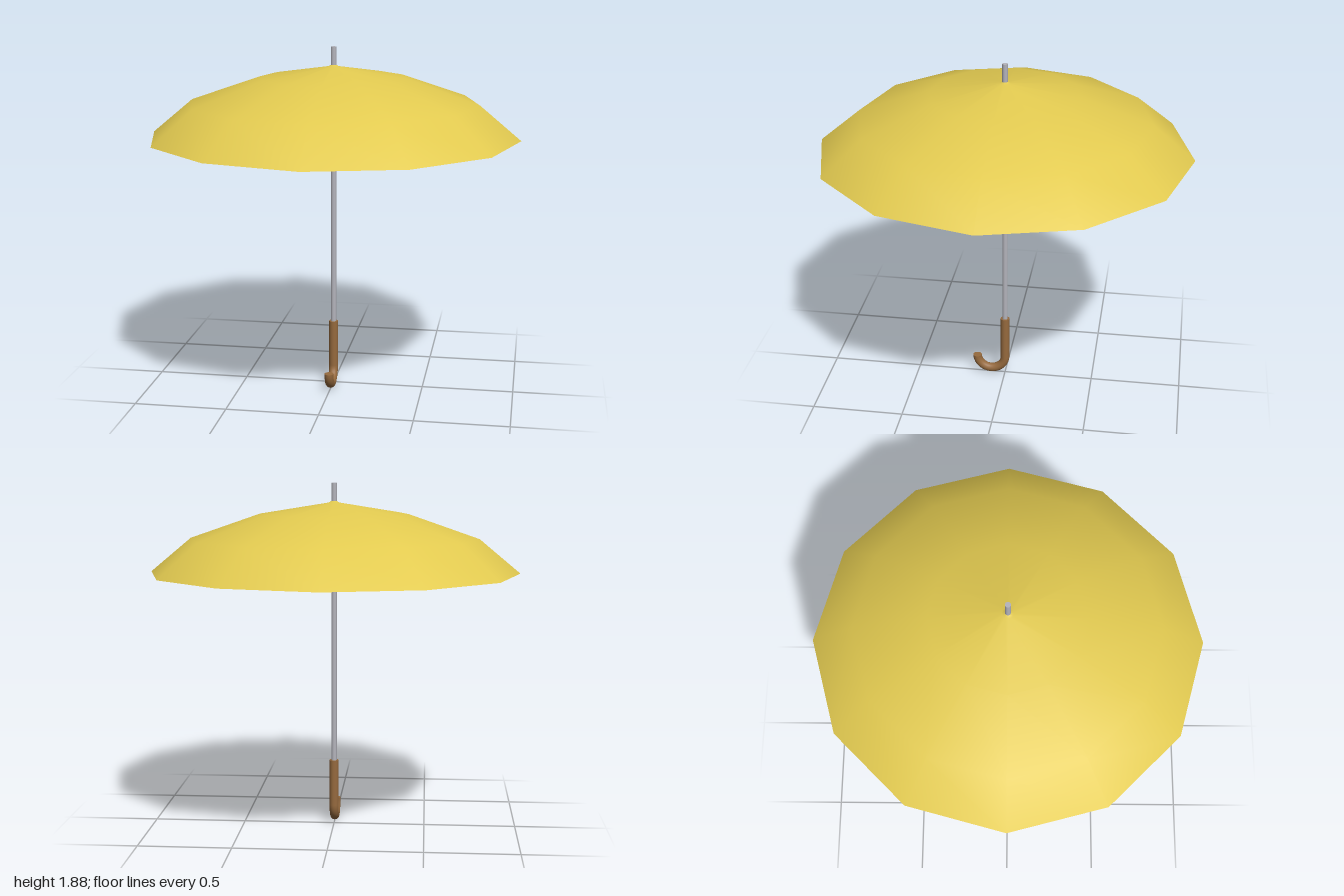
import * as THREE from 'three';

export function createModel() {
  const group = new THREE.Group();
  const yellow = new THREE.MeshStandardMaterial({ color: 0xe2ca50, side: THREE.DoubleSide });
  yellow.name = 'yellow fabric';
  const metal = new THREE.MeshStandardMaterial({ color: 0xb4b4bc });
  metal.name = 'grey metal';
  const wood = new THREE.MeshStandardMaterial({ color: 0x966a3e });
  wood.name = 'brown wood';

  const add = (name, geometry, material, x = 0, y = 0, z = 0) => {
    const mesh = new THREE.Mesh(geometry, material);
    mesh.name = name;
    mesh.position.set(x, y, z);
    group.add(mesh);
    return mesh;
  };
  const rod = (name, radius, bottom, top, material) =>
    add(name, new THREE.CylinderGeometry(radius, radius, top - bottom, 16), material, 0, (bottom + top) / 2, 0);

  // Twelve-sided canopy, one thin open sheet from rim to crown
  const profile = [[1, 1.4], [0.78, 1.583], [0.4, 1.715], [0.03, 1.775], [0.012, 1.785]]
    .map(([r, y]) => new THREE.Vector2(r, y));
  add('canopy', new THREE.LatheGeometry(profile, 12), yellow);

  // Shaft running through the crown to form the tip
  rod('shaft', 0.015, 0.3, 1.88, metal);

  // Straight grip and hooked end curling to the front
  const hookY = 0.105, hookR = 0.08, gripR = 0.025;
  rod('grip', gripR, hookY, 0.36, wood);
  const hook = new THREE.TorusGeometry(hookR, gripR, 16, 20, Math.PI);
  hook.rotateZ(Math.PI).rotateY(Math.PI / 2);
  add('hook', hook, wood, 0, hookY, hookR);
  const cap = new THREE.CircleGeometry(gripR, 16).rotateX(-Math.PI / 2);
  add('hookEnd', cap, wood, 0, hookY, hookR * 2);

  return group;
}
